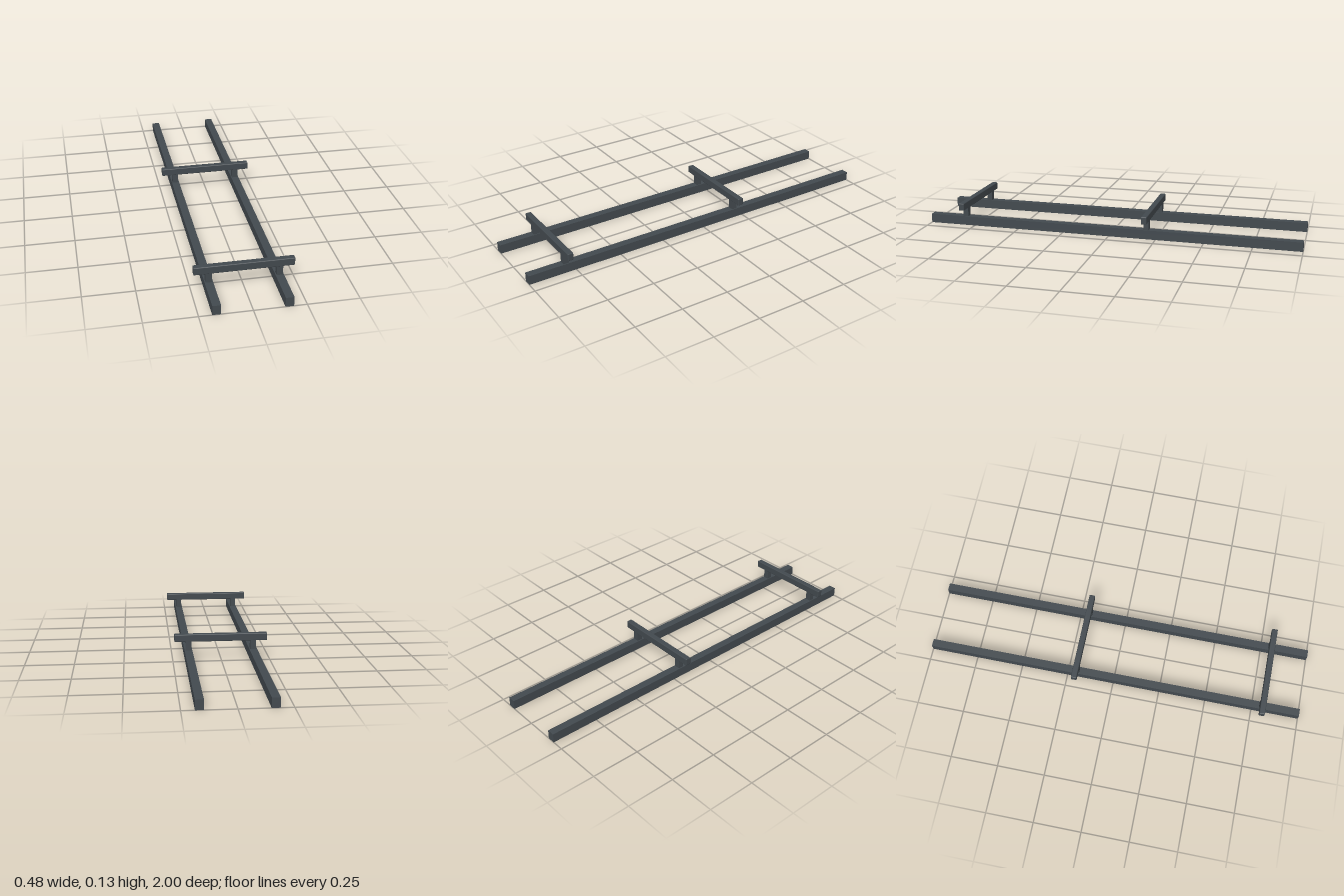
import * as THREE from 'three';
import { RoundedBoxGeometry } from 'three/addons/geometries/RoundedBoxGeometry.js';

export function createModel() {
  const group = new THREE.Group();
  const material = new THREE.MeshStandardMaterial({ color: 0x42494e });

  const add = (name, geometry, x, y, z) => {
    const mesh = new THREE.Mesh(geometry, material);
    mesh.name = name;
    mesh.position.set(x, y, z);
    group.add(mesh);
  };

  const railX = 0.168;
  const railGeometry = new THREE.BoxGeometry(0.04, 0.048, 2);
  const postGeometry = new THREE.BoxGeometry(0.03, 0.05, 0.028);
  const barGeometry = new RoundedBoxGeometry(0.48, 0.039, 0.03, 2, 0.004);

  // Two long rails resting on the ground
  for (const [side, s] of [['left', 1], ['right', -1]]) {
    add(`${side}Rail`, railGeometry, s * railX, 0.024, 0);
  }

  // Two softly bevelled crossbars, each carried by a pair of posts
  for (const [place, z] of [['front', 0.8], ['rear', -0.2]]) {
    add(`${place}Crossbar`, barGeometry, 0, 0.1135, z);
    for (const [side, s] of [['Left', 1], ['Right', -1]]) {
      add(`${place}${side}Post`, postGeometry, s * railX, 0.072, z);
    }
  }
  return group;
}
